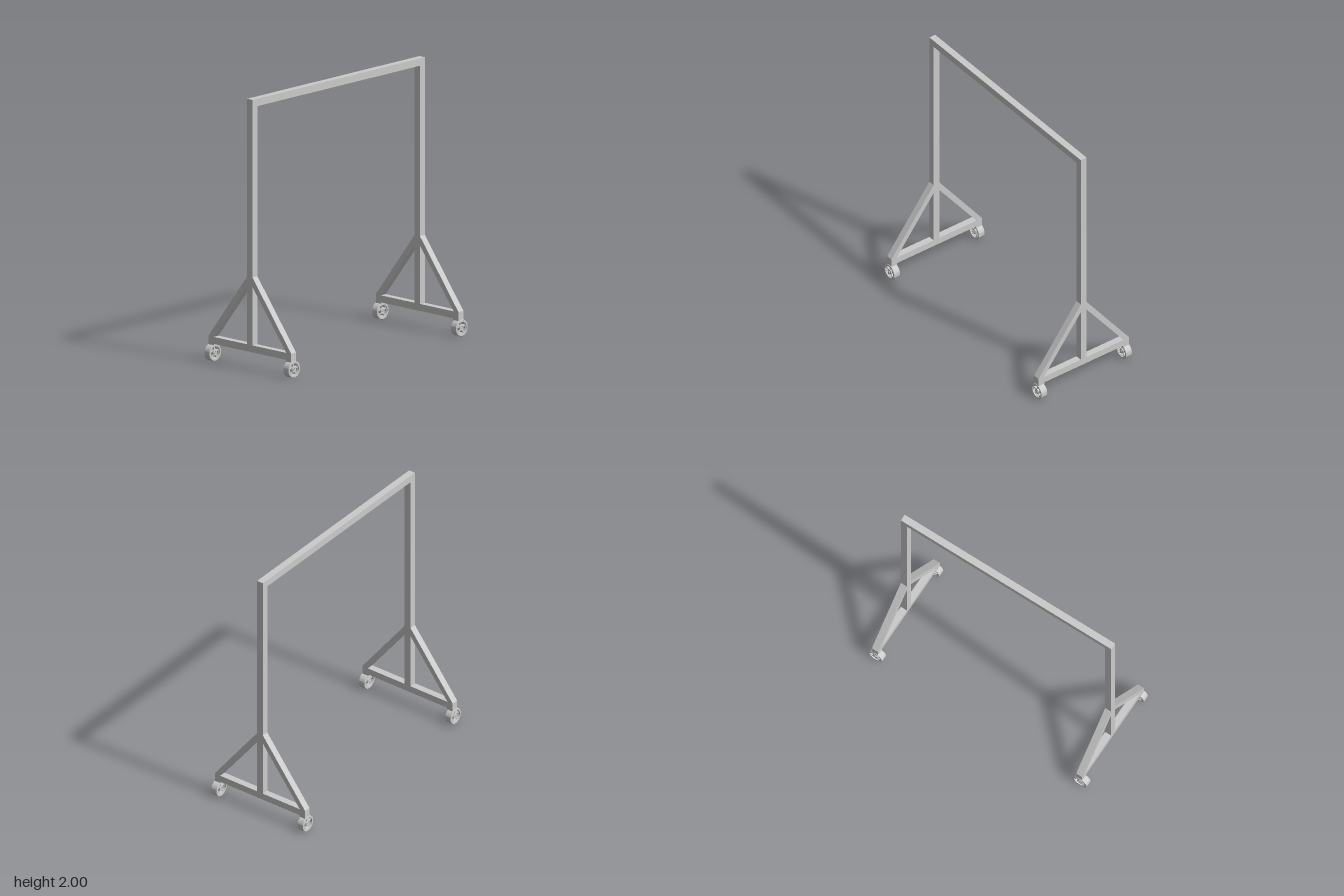
import * as THREE from 'three';
import { toCreasedNormals } from 'three/addons/utils/BufferGeometryUtils.js';

const material = new THREE.MeshStandardMaterial({ color: 0xcccccc });
const TUBE = 0.052;   // square tube width
const H = TUBE / 2;
const END_Z = 0.904;  // outer face of the end frames
const WHEEL_R = 0.0615;

function addMesh(parent, name, geometry, x = 0, y = 0, z = 0) {
  const mesh = new THREE.Mesh(geometry, material);
  mesh.name = name;
  mesh.position.set(x, y, z);
  parent.add(mesh);
  return mesh;
}

const toPoints = (list) => list.map(([x, y]) => new THREE.Vector2(x, y));

// Post, base beam and diagonal braces as one flat profile with two triangular openings
function endFrameGeometry() {
  const half = [[0.408, 0.13], [0.408, 0.185], [H, 0.685], [H, 2]];
  const mirrored = half.map(([x, y]) => [-x, y]).reverse();
  const shape = new THREE.Shape(toPoints([...half, ...mirrored]));
  for (const s of [1, -1]) {
    shape.holes.push(new THREE.Path(toPoints([[s * H, 0.182], [s * 0.36, 0.182], [s * H, 0.615]])));
  }
  return new THREE.ExtrudeGeometry(shape, { depth: TUBE, bevelEnabled: false });
}

// Broad ring turned about the axle, lying along x
function tyreGeometry() {
  const w = 0.0265, ri = 0.047, b = 0.002;
  const profile = toPoints([
    [ri, -w], [WHEEL_R - b, -w], [WHEEL_R, -w + b],
    [WHEEL_R, w - b], [WHEEL_R - b, w], [ri, w], [ri, -w],
  ]);
  return toCreasedNormals(new THREE.LatheGeometry(profile, 40).rotateZ(Math.PI / 2), 0.6);
}

// Disc with window cut-outs that leave the spokes
function spokeGeometry() {
  const spokes = 5, inner = 0.022, outer = 0.044, halfSpoke = 0.0045, depth = 0.034;
  const shape = new THREE.Shape().absarc(0, 0, 0.048, 0, Math.PI * 2);
  for (let i = 0; i < spokes; i++) {
    const a0 = Math.PI / 2 + (i * 2 * Math.PI) / spokes;
    const a1 = a0 + (2 * Math.PI) / spokes;
    const go = Math.asin(halfSpoke / outer), gi = Math.asin(halfSpoke / inner);
    const hole = new THREE.Path();
    hole.absarc(0, 0, outer, a0 + go, a1 - go, false);
    hole.absarc(0, 0, inner, a1 - gi, a0 + gi, true);
    hole.closePath();
    shape.holes.push(hole);
  }
  const g = new THREE.ExtrudeGeometry(shape, { depth, bevelEnabled: false, curveSegments: 10 });
  return toCreasedNormals(g.translate(0, 0, -depth / 2).rotateY(Math.PI / 2), 0.6);
}

// Raised hub ring around the axle
function hubGeometry() {
  const w = 0.024;
  const profile = toPoints([[0.01, -w], [0.02, -w], [0.02, w], [0.01, w], [0.01, -w]]);
  return toCreasedNormals(new THREE.LatheGeometry(profile, 24).rotateZ(Math.PI / 2), 0.6);
}

export function createModel() {
  const model = new THREE.Group();
  model.name = 'rollingFrame';

  // End frames and the top rail between them
  const frame = endFrameGeometry();
  addMesh(model, 'frontEndFrame', frame, 0, 0, END_Z - TUBE);
  addMesh(model, 'backEndFrame', frame, 0, 0, -END_Z);
  addMesh(model, 'topRail', new THREE.BoxGeometry(TUBE, 0.055, 2 * (END_Z - TUBE)), 0, 1.9725, 0);

  // Four wheels, set slightly off the beam centre line
  const tyre = tyreGeometry(), spokes = spokeGeometry(), hub = hubGeometry();
  const axle = new THREE.CylinderGeometry(0.006, 0.006, 0.052, 16).rotateZ(Math.PI / 2);
  const mount = new THREE.BoxGeometry(TUBE, 0.016, TUBE);
  for (const sx of [1, -1]) {
    for (const sz of [1, -1]) {
      const wheel = new THREE.Group();
      wheel.name = (sz > 0 ? 'front' : 'back') + (sx > 0 ? 'Left' : 'Right') + 'Wheel';
      wheel.position.set(sx * 0.386, WHEEL_R, sz * 0.879 - sx * 0.0055);
      addMesh(wheel, 'tyre', tyre);
      addMesh(wheel, 'spokes', spokes);
      addMesh(wheel, 'hub', hub);
      addMesh(wheel, 'axle', axle);
      model.add(wheel);
      addMesh(model, 'wheelMount', mount, sx * 0.382, 0.125, sz * (END_Z - H));
    }
  }
  return model;
}
